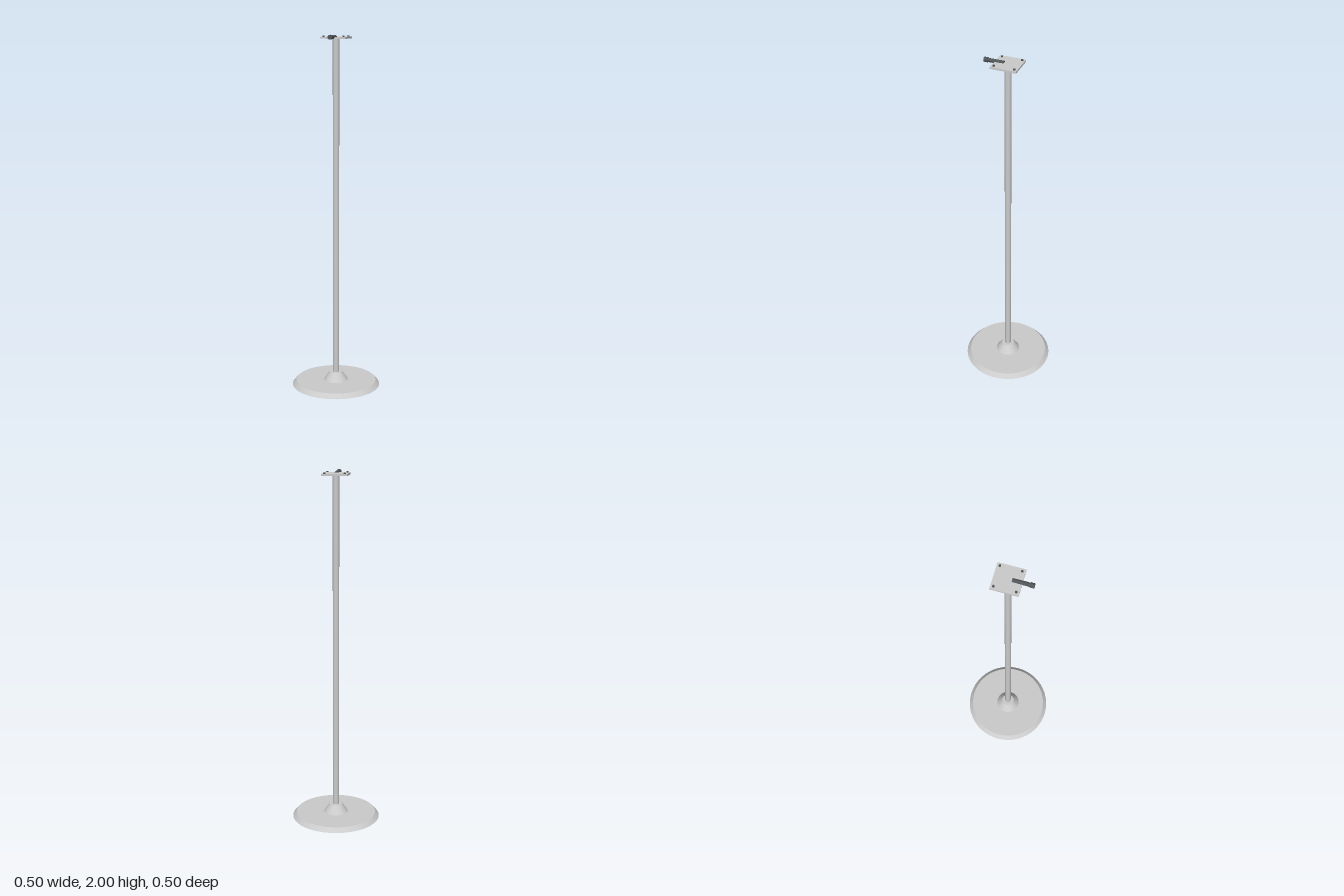
import * as THREE from 'three';

export function createModel() {
  const model = new THREE.Group();
  const grey = new THREE.MeshStandardMaterial({ color: 0xcccccc });
  const dark = new THREE.MeshStandardMaterial({ color: 0x505558 });

  const add = (name, geometry, material, x, y, z) => {
    const mesh = new THREE.Mesh(geometry, material);
    mesh.name = name;
    mesh.position.set(x, y, z);
    model.add(mesh);
    return mesh;
  };

  // Upright round part between two heights
  const column = (name, rTop, rBottom, y0, y1, sides, material, x = 0, z = 0) =>
    add(name, new THREE.CylinderGeometry(rTop, rBottom, y1 - y0, sides), material, x, (y0 + y1) / 2, z);

  // Round part lying along z
  const rod = (name, radius, y, z0, z1) => {
    const mesh = add(name, new THREE.CylinderGeometry(radius, radius, z1 - z0, 24), dark, 0, y, (z0 + z1) / 2);
    mesh.rotation.x = Math.PI / 2;
  };

  // Weighted foot, collar and pole
  column('base', 0.23, 0.252, 0, 0.025, 48, grey);
  column('collar', 0.036, 0.07, 0.025, 0.073, 32, grey);
  column('pole', 0.018, 0.018, 0.025, 1.98, 32, grey);

  // Mounting plate with a screw at each corner
  add('mountingPlate', new THREE.BoxGeometry(0.142, 0.01, 0.142), grey, 0, 1.983, 0);
  for (const x of [-0.055, 0.055]) {
    for (const z of [-0.055, 0.055]) {
      column('screw', 0.006, 0.006, 1.986, 1.994, 16, dark, x, z);
    }
  }

  // Locking handle with its end knob
  rod('handle', 0.0105, 1.987, 0.021, 0.11);
  rod('handleKnob', 0.013, 1.987, 0.108, 0.13);

  return model;
}
